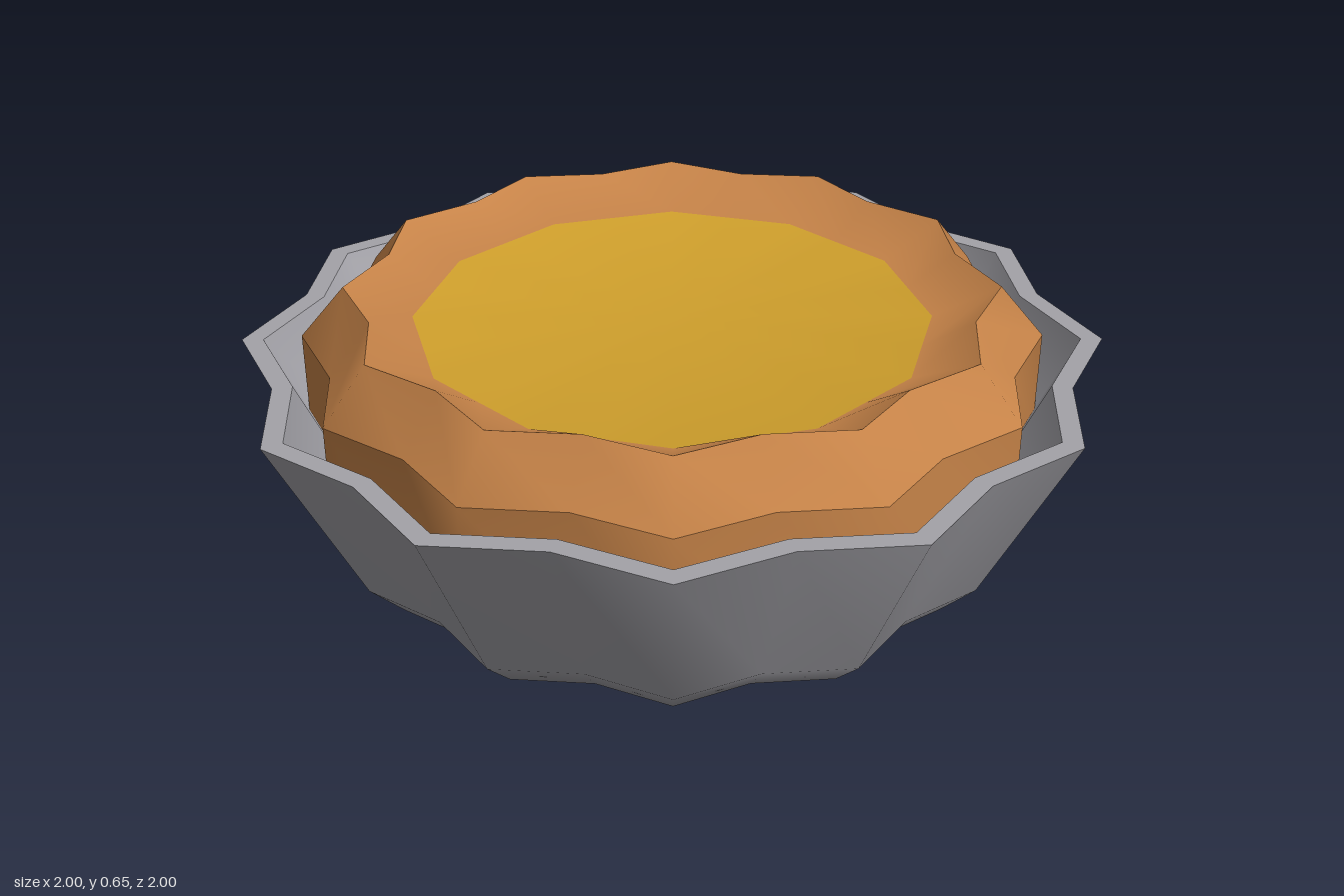
import * as THREE from 'three';

const SIDES = 24;      // alternating peaks and valleys
const VALLEY = 0.92;   // valley radius relative to peak radius

// Fluted surface through rings [radius, y, valleyRatio]; smooth within itself.
// Profiles that rise face outward, profiles that run inward face up.
// Triangles from ring "splitAt" onward use the second material.
function flutedBand(name, rings, materials, splitAt) {
  const positions = [];
  const index = [];
  for (const [radius, y, valley = VALLEY] of rings) {
    for (let j = 0; j < SIDES; j++) {
      const angle = (j / SIDES) * Math.PI * 2;
      const r = radius * (j % 2 ? valley : 1);
      positions.push(Math.sin(angle) * r, y, Math.cos(angle) * r);
    }
  }
  for (let i = 0; i < rings.length - 1; i++) {
    for (let j = 0; j < SIDES; j++) {
      const a = i * SIDES + j;
      const b = i * SIDES + (j + 1) % SIDES;
      const c = a + SIDES;
      const d = b + SIDES;
      if (rings[i][0] > 0) index.push(a, b, c);
      if (rings[i + 1][0] > 0) index.push(b, d, c);
    }
    if (splitAt === i + 1) index.split = index.length;
  }
  const geometry = new THREE.BufferGeometry();
  geometry.setAttribute('position', new THREE.Float32BufferAttribute(positions, 3));
  geometry.setIndex(Array.from(index));
  geometry.computeVertexNormals();
  if (splitAt) {
    geometry.addGroup(0, index.split, 0);
    geometry.addGroup(index.split, index.length - index.split, 1);
  }
  const mesh = new THREE.Mesh(geometry, materials);
  mesh.name = name;
  return mesh;
}

export function createModel() {
  const material = (name, color) => {
    const m = new THREE.MeshStandardMaterial({ color });
    m.name = name;
    return m;
  };
  const tin = material('tin grey', 0xa3a2a8);
  const crust = material('baked crust', 0xc68348);
  const filling = material('golden filling', 0xd0a02c);

  const model = new THREE.Group();
  model.name = 'pie';

  // Fluted baking tin: underside and outer wall, flat lip, inner wall and floor
  const tinGroup = new THREE.Group();
  tinGroup.name = 'bakingTin';
  tinGroup.add(
    flutedBand('tinOuterWall', [[0, 0], [0.71, 0], [0.79, 0.08], [1, 0.515]], tin),
    flutedBand('tinLip', [[1, 0.515], [0.95, 0.515]], tin),
    flutedBand('tinInnerWall', [[0.95, 0.515], [0.74, 0.08], [0, 0.06]], tin),
  );

  // Crust: upright side set into the tin, then a slope up to the top edge
  const pie = new THREE.Group();
  pie.name = 'pieBody';
  pie.add(
    flutedBand('crustSide', [[0.86, 0.28], [0.86, 0.525]], crust),
    flutedBand('crustSlope', [[0.86, 0.525], [0.755, 0.65]], crust),
    // Inner slope runs down to the twelve-sided filling
    flutedBand('crustInnerSlopeAndFilling',
      [[0.755, 0.65], [0.6, 0.575, Math.cos(Math.PI / 12)], [0, 0.575]],
      [crust, filling], 1),
  );

  model.add(tinGroup, pie);
  return model;
}
